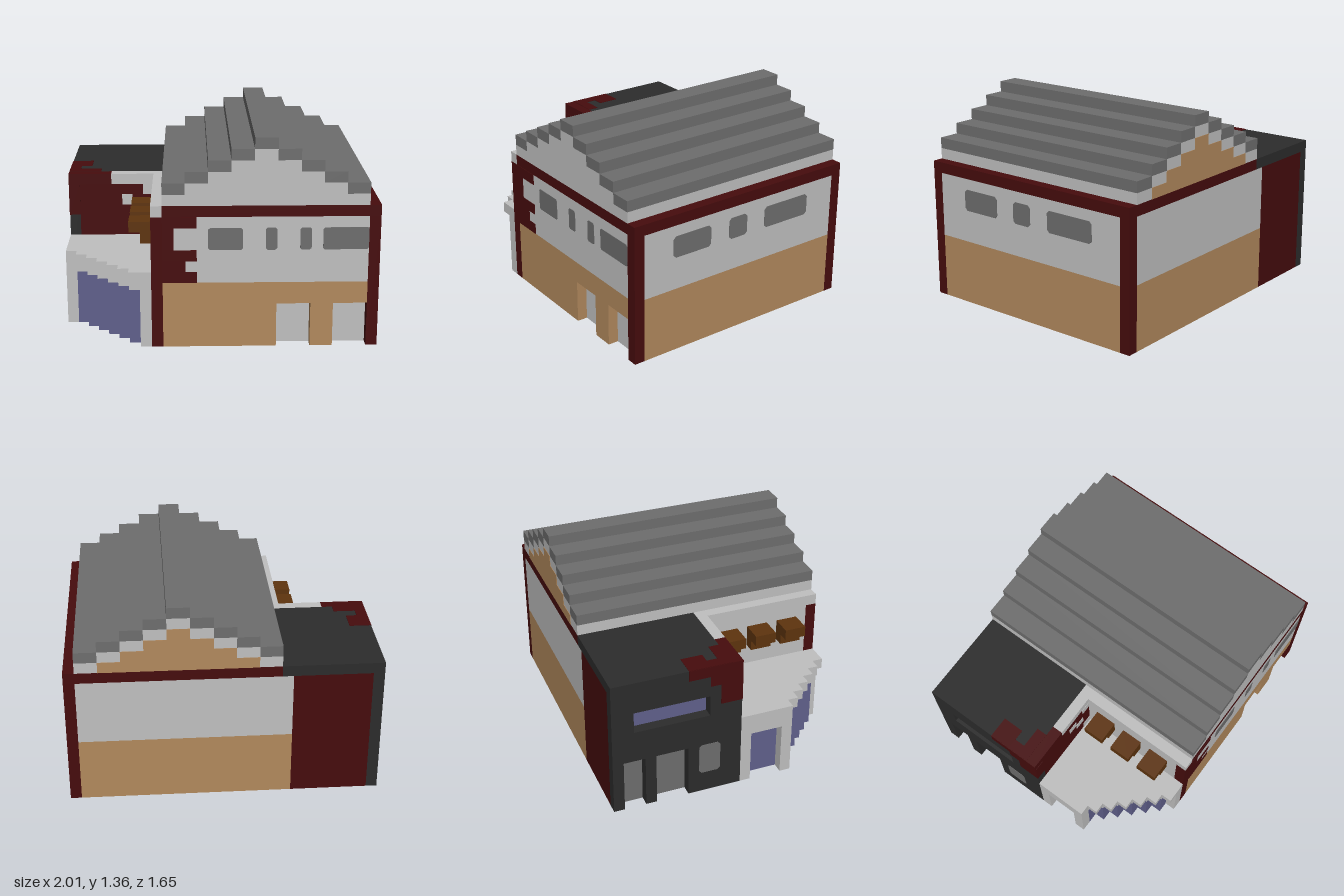
import * as THREE from 'three';

const mat = (name, color) => Object.assign(new THREE.MeshStandardMaterial({ color }), { name });

export function createModel() {
  const light = mat('lightGrey', 0xc0c0c0), red = mat('darkRed', 0x460c0d), tan = mat('tan', 0xb2895d);
  const grey = mat('roofGrey', 0x6e6e6e), black = mat('charcoal', 0x2c2c2c);
  const purple = mat('purpleGlass', 0x60608c), brown = mat('brownWood', 0x5e340e);

  // Everything is laid out on a 28 x 19 x 23 block grid, scaled to size at the end
  const root = new THREE.Group();
  root.name = 'house';
  const grid = new THREE.Group();
  grid.name = 'blocks';
  grid.scale.setScalar(1 / 14);
  grid.position.set(-1, 0, -11.5 / 14);
  root.add(grid);

  const T = 0.04; // thickness of painted plates, in blocks
  const add = (name, geo, m) => {
    const mesh = new THREE.Mesh(geo, m);
    mesh.name = name;
    grid.add(mesh);
    return mesh;
  };
  const box = (name, m, x0, x1, y0, y1, z0, z1) =>
    add(name, new THREE.BoxGeometry(x1 - x0, y1 - y0, z1 - z0), m)
      .position.set((x0 + x1) / 2, (y0 + y1) / 2, (z0 + z1) / 2);

  // Rounded window plate, w x h, centred
  const pane = (w, h, r = 0.25) => {
    const s = new THREE.Shape(), a = w / 2, b = h / 2;
    s.moveTo(-a + r, -b).lineTo(a - r, -b).lineTo(a, -b + r).lineTo(a, b - r);
    s.lineTo(a - r, b).lineTo(-a + r, b).lineTo(-a, b - r).lineTo(-a, -b + r);
    return new THREE.ExtrudeGeometry(s, { depth: T, bevelEnabled: false });
  };

  // Main hall: lower and upper walls
  box('lowerWalls', tan, 9, 27, 0, 6, 0, 22);
  box('upperWalls', light, 9, 27, 6, 12, 0, 23);
  box('rightLowerWall', tan, 27, 28, 0, 6, 1, 22);
  box('rightUpperWall', light, 27, 28, 6, 12, 1, 22);
  box('leftLowerWall', tan, 8, 9, 0, 6, 0, 22);
  box('leftUpperWall', light, 8, 9, 6, 12, 0, 22);
  box('frontLowerWall', tan, 9, 19, 0, 4, 22, 23);
  box('frontLowerWall', tan, 22, 24, 0, 4, 22, 23);
  box('frontLintel', tan, 9, 27, 4, 6, 22, 23);
  for (const [a, b] of [[19, 22], [24, 27]]) box('frontDoor', light, a, b, 0, 4, 22, 22 + T);

  // Corner posts, top beam and light coping on the left
  for (const [x, z] of [[27, 0], [27, 22], [8, 22]]) box('cornerPost', red, x, x + 1, 0, 12, z, z + 1);
  box('topBeam', red, 9, 28, 12, 13, 0, 23);
  box('leftCoping', light, 8, 9, 12, 13, 11, 23);

  // Ragged red brickwork beside the left front post
  for (const [y0, y1, x] of [[6, 7, 12], [7, 8, 11], [8, 9, 12], [9, 11, 10], [11, 12, 12]])
    box('frontBrickPatch', red, 9, x, y0, y1, 23, 23 + T);

  // Windows
  for (const [a, b] of [[13, 16], [18, 19], [21, 22], [23, 27]])
    add('frontWindow', pane(b - a, 2, 0.15), grey).position.set((a + b) / 2, 10, 23);
  for (const [a, b] of [[4, 9], [11, 13], [15, 19]]) {
    const w = add('rightWindow', pane(b - a, 2), grey);
    w.rotation.y = Math.PI / 2;
    w.position.set(28, 10, (a + b) / 2);
  }

  // Stepped gable and roof
  for (let j = 0; j < 5; j++) {
    const a = 9 + 2 * j, b = 27 - 2 * j;
    box('gable', light, a, b, 13 + j, 14 + j, 0, 23);
    if (j < 4) {
      box('backGablePanel', tan, a + 2, b - 2, 13 + j, 14 + j, -T, 0);
      box('roofStep', grey, a, a + 2, 14 + j, 15 + j, 0, 23);
      box('roofStep', grey, b - 2, b, 14 + j, 15 + j, 0, 23);
    } else box('roofRidge', grey, a, b, 14 + j, 15 + j, 0, 23);
  }

  // Rear left tower
  box('towerCore', red, 1, 8, 0, 12, 0, 12);
  box('towerRoof', black, 0, 9, 12, 13, 0, 11);
  box('towerFrontParapet', red, 0, 4, 12, 13, 11, 12);
  box('towerFrontCoping', light, 4, 8, 12, 13, 11, 12);

  // Tower side wall with two doorways and a long window
  const wall = new THREE.Shape([[0, 0], [1, 0], [1, 5], [3, 5], [3, 0], [4, 0], [4, 5], [7, 5], [7, 0],
    [12, 0], [12, 12], [0, 12]].map(p => new THREE.Vector2(...p)));
  wall.holes.push(new THREE.Path([[2, 8], [2, 10], [9, 10], [9, 8]].map(p => new THREE.Vector2(...p))));
  const side = add('towerSideWall', new THREE.ExtrudeGeometry(wall, { depth: 1, bevelEnabled: false }), black);
  side.rotation.y = -Math.PI / 2;
  side.position.x = 1;
  box('towerLongWindow', purple, 1 - T, 1, 8, 10, 2, 9);
  box('towerDoor', grey, 1 - T, 1, 0, 5, 1, 3);
  box('towerDoor', grey, 1 - T, 1, 0, 5, 4, 7);
  const small = add('towerSmallWindow', pane(2, 3), grey);
  small.rotation.y = -Math.PI / 2;
  small.position.set(0, 3.5, 9);

  // Ragged patches on the tower
  for (const [x, z0, z1] of [[2, 7, 9], [1, 9, 10], [3, 10, 11]])
    box('towerRoofPatch', red, 0, x, 13, 13 + T, z0, z1);
  for (const [y0, y1, z] of [[12, 13, 7], [11, 12, 9], [9, 11, 10]])
    box('towerSidePatch', red, -T, 0, y0, y1, z, 12);
  box('towerFrontPatch', red, 0, 1, 9, 12, 12, 12 + T);
  for (const [x0, x1, y] of [[7, 8, 11], [5, 6, 10], [6, 7, 9], [7, 8, 7]])
    box('towerFrontLightPatch', light, x0, x1, y, y + 1, 12, 12 + T);

  // Low front porch with a stepped diagonal edge and glazing set back under its roof
  [17, 18, 19, 20, 21, 22, 23, 23].forEach((end, x) => {
    box('porchRoof', light, x, x + 1, 6, 7, 12, end);
    if (x === 0) {
      box('porchPost', light, 0, 1, 0, 6, 12, 13);
      box('porchPost', light, 0, 1, 0, 6, 16, 17);
      box('porchLintel', light, 0, 1, 5, 6, 13, 16);
    } else if (x === 7) {
      box('porchPost', light, 7, 8, 0, 6, 12, 23);
    } else {
      const inner = x === 1 ? 12 : end - 2;
      if (x > 1) box('porchFloorBlock', light, x, x + 1, 0, 5, 12, inner);
      box('porchGlass', purple, x, x + 1, 0, 5, inner, end - 1);
      box('porchLintel', light, x, x + 1, 5, 6, 12, end - 1);
    }
  });

  // Wooden brackets on the hall's left wall
  for (const z of [13, 16, 19]) {
    box('bracketArm', brown, 6, 8, 10, 11, z, z + 2);
    box('bracketFoot', brown, 7, 8, 9, 10, z, z + 2);
  }
  return root;
}
